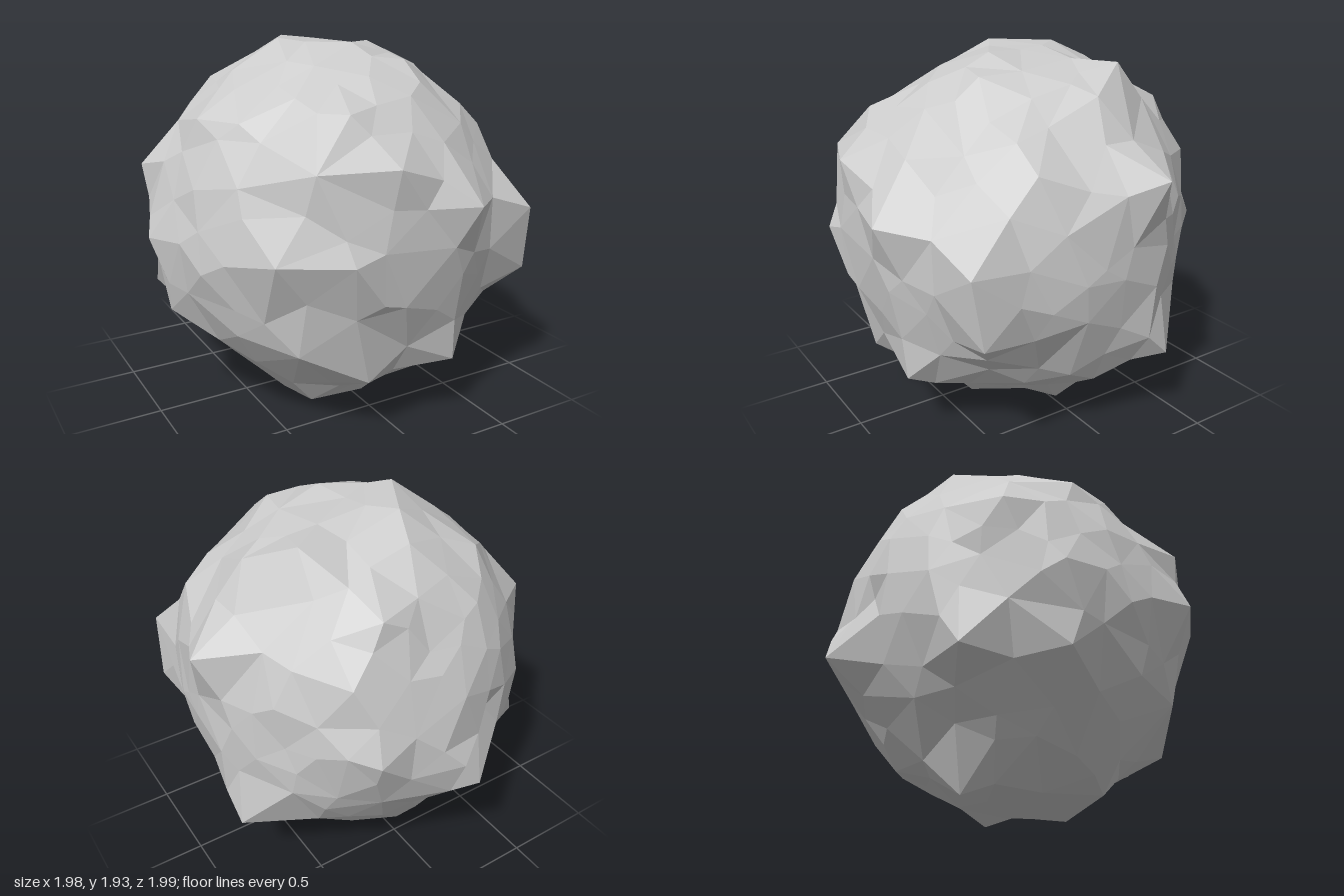
import * as THREE from 'three';
import { ConvexGeometry } from 'three/addons/geometries/ConvexGeometry.js';

// Sculpting guides: corners the rock surface passes through
const CENTRE = new THREE.Vector3(0, 0.97, 0);
const GUIDES = [
  // crown
  [-0.27, 1.93, 0], [0.05, 1.91, 0.2], [0.46, 1.87, -0.3], [-0.1, 1.92, -0.3], [-0.03, 1.83, -0.48],
  [-0.46, 1.7, -0.46], [-0.48, 1.77, -0.1], [0.25, 1.83, 0.38], [0.62, 1.75, -0.05],
  // side spike, ridge and low corner on the left
  [0.99, 1.4, -0.2], [0.75, 1.46, 0.38], [0.75, 1.55, 0], [0.91, 1, 0.1], [0.88, 0.42, -0.35],
  [0.72, 0.3, 0], [0.83, 0.72, 0.72], [0.81, 1.07, 0.77], [0.7, 0.97, -0.53], [0.47, 1.36, -0.77],
  // front bulges and lower ledge
  [0.3, 1.2, 0.99], [-0.37, 1, 0.95], [0.28, 0.36, 0.84], [-0.2, 0.33, 0.8], [-0.27, 1.64, 0.72],
  [-0.5, 1.41, 0.82], [-0.14, 1.42, 0.95], [0.52, 0.9, 0.8], [-0.2, 0.78, 0.93],
  // right flank
  [-0.99, 0.96, -0.05], [-0.92, 1.28, -0.33], [-0.76, 1.57, 0.1], [-0.91, 0.57, 0],
  [-0.53, 0.5, 0.7], [-0.68, 1, 0.77], [-0.72, 1.3, 0.47], [-0.67, 0.36, 0],
  // back
  [-0.14, 0.69, -1], [0.4, 0.97, -0.91], [-0.3, 0.97, -0.8], [-0.7, 0.95, -0.62], [-0.82, 0.55, -0.5],
  [-0.17, 1.68, -0.6], [0.05, 1.42, -0.77], [0.08, 0.47, -0.75], [0.28, 1.63, -0.72],
  // feet
  [-0.35, 0, -0.35], [0.05, 0.01, 0.34], [0.4, 0.03, 0], [-0.3, 0.07, 0.4], [0.05, 0.2, -0.58],
].map(([x, y, z]) => {
  const offset = new THREE.Vector3(x, y, z).sub(CENTRE);
  return { dir: offset.clone().normalize(), radius: offset.length() };
});

const BASE_RADIUS = 0.91;
const REACH = 0.15;

// Distance-weighted blend of the guide radii, exact at each guide, with small ripples between
function radiusAt(dir) {
  const ripple = 0.025 * Math.sin(dir.x * 19 + dir.y * 7) * Math.sin(dir.z * 17 - dir.y * 13);
  let weight = REACH ** -3;
  let sum = weight * (BASE_RADIUS + ripple);
  for (const guide of GUIDES) {
    const d = dir.distanceTo(guide.dir);
    const w = 1 / (d ** 3 + 1e-6);
    sum += w * guide.radius;
    weight += w;
  }
  return sum / weight;
}

function seededRandom(seed) {
  return () => {
    seed = (seed * 16807) % 2147483647;
    return seed / 2147483647;
  };
}

// Corner directions: the guides, then an uneven spiral filling the gaps between them
function cornerDirections(count) {
  const random = seededRandom(4217);
  const jitter = () => (random() - 0.5) * 0.14;
  const dirs = GUIDES.map((guide) => guide.dir);
  for (let i = 0; i < count; i++) {
    const y = 1 - (2 * i + 1) / count;
    const ring = Math.sqrt(1 - y * y);
    const turn = i * 2.39996;
    const dir = new THREE.Vector3(
      ring * Math.cos(turn) + jitter(), y + jitter(), ring * Math.sin(turn) + jitter(),
    ).normalize();
    if (dirs.every((other) => other.distanceTo(dir) > 0.12)) dirs.push(dir);
  }
  return dirs;
}

export function createModel() {
  const group = new THREE.Group();
  group.name = 'boulder';

  // Facet the unit sphere, then push every corner out to the rock surface
  const geometry = new ConvexGeometry(cornerDirections(270));
  const position = geometry.attributes.position;
  const point = new THREE.Vector3();
  for (let i = 0; i < position.count; i++) {
    point.fromBufferAttribute(position, i);
    point.multiplyScalar(radiusAt(point)).add(CENTRE);
    position.setXYZ(i, point.x, Math.max(0, point.y), point.z);
  }
  geometry.computeVertexNormals();

  const rock = new THREE.Mesh(geometry, new THREE.MeshStandardMaterial({ color: 0xcccccc, flatShading: true }));
  rock.name = 'rock';
  group.add(rock);
  return group;
}
